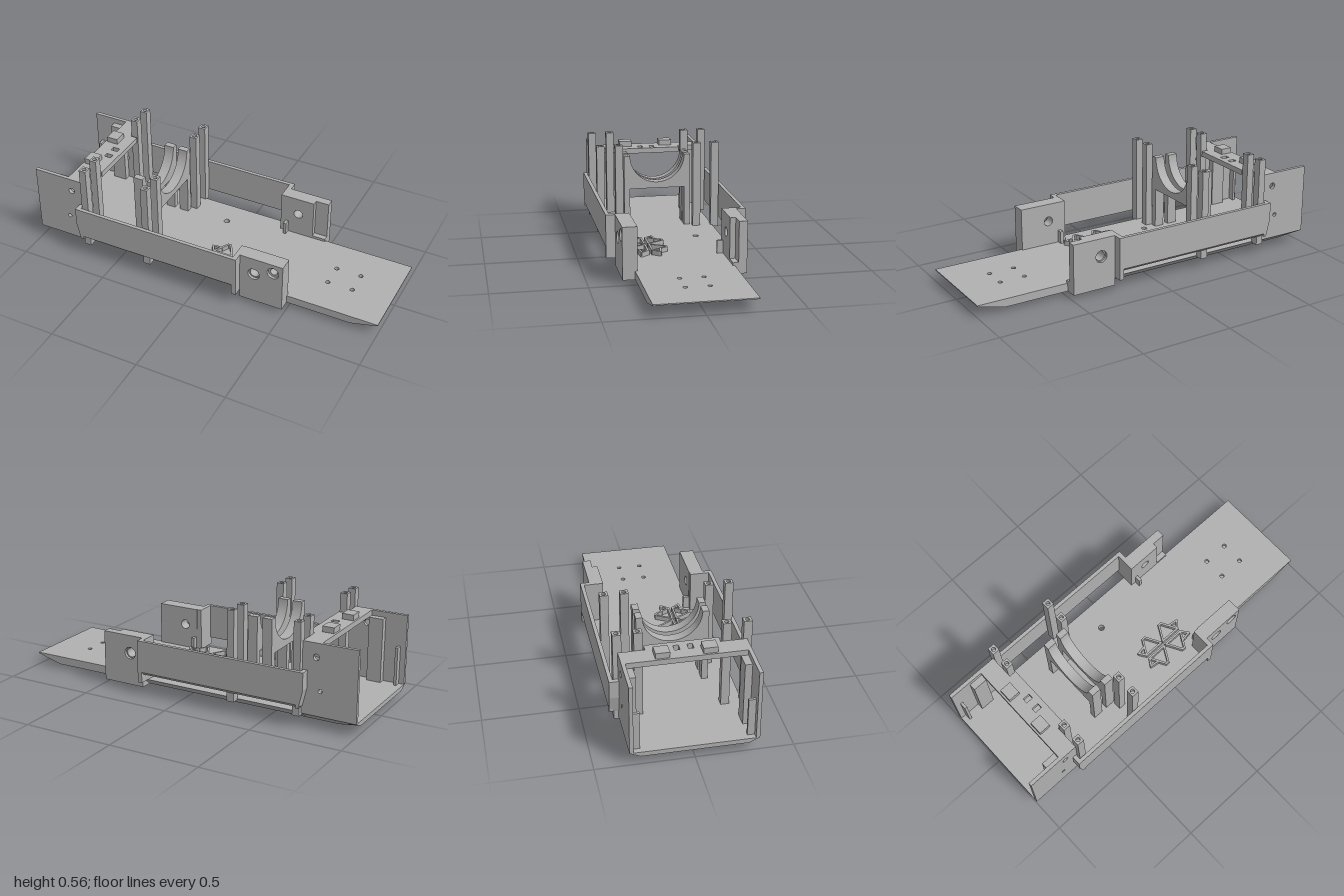
import * as THREE from 'three';
import { ConvexGeometry } from 'three/addons/geometries/ConvexGeometry.js';

export function createModel() {
  const model = new THREE.Group();
  const grey = new THREE.MeshStandardMaterial({ color: 0xb0b0b0 });
  grey.name = 'plain grey';

  const add = (name, geo) => {
    const mesh = new THREE.Mesh(geo, grey);
    mesh.name = name;
    model.add(mesh);
    return mesh;
  };
  const box = (name, x0, x1, y0, y1, z0, z1) => {
    const geo = new THREE.BoxGeometry(x1 - x0, y1 - y0, Math.abs(z1 - z0));
    geo.translate((x0 + x1) / 2, (y0 + y1) / 2, (z0 + z1) / 2);
    return add(name, geo);
  };
  const hull = (name, pts) => add(name, new ConvexGeometry(pts.map(p => new THREE.Vector3(...p))));
  const polygon = pts => new THREE.Shape(pts.map(p => new THREE.Vector2(...p)));
  const rect = (x0, x1, y0, y1) => polygon([[x0, y0], [x1, y0], [x1, y1], [x0, y1]]);
  const punch = (shape, x, y, r) => {
    shape.holes.push(new THREE.Path().absarc(x, y, r, 0, Math.PI * 2, true));
    return shape;
  };
  const extrude = (shape, depth) =>
    new THREE.ExtrudeGeometry(shape, { depth, bevelEnabled: false, curveSegments: 24 });
  // upright panel: x/y outline between two z positions
  const panel = (name, shape, za, zb) =>
    add(name, extrude(shape, Math.abs(zb - za)).translate(0, 0, Math.min(za, zb)));
  // flat slab: x/-z outline between two heights
  const slab = (name, shape, y0, y1) =>
    add(name, extrude(shape, y1 - y0).rotateX(-Math.PI / 2).translate(0, y0, 0));
  // cross-section in z/y running along x
  const along = (name, shape, x0, x1) =>
    add(name, extrude(shape, x1 - x0).rotateY(-Math.PI / 2).translate(x1, 0, 0));
  // square post with a blind screw hole in its top
  const post = (name, x, z, w, d, y0, y1) => {
    box(name, x - w / 2, x + w / 2, y0, y1 - 0.03, z - d / 2, z + d / 2);
    slab(name + 'Top', punch(rect(x - w / 2, x + w / 2, -z - d / 2, -z + d / 2), x, -z, 0.011), y1 - 0.03, y1);
  };

  // floor: lower layer with through holes, upper layer also with blind screw holes
  const drains = [[-0.08, 0.175], [-0.25, -0.165]];
  const lower = rect(-0.88, 0.85, -0.26, 0.26);
  const upper = rect(-0.88, 0.85, -0.26, 0.26);
  for (const [x, y] of drains) { punch(lower, x, y, 0.016); punch(upper, x, y, 0.016); }
  for (const x of [0.64, 0.78]) for (const y of [0.065, -0.06]) punch(upper, x, y, 0.012);
  slab('floorBottom', lower, 0.025, 0.05);
  slab('floorTop', upper, 0.05, 0.07);
  const nose = [], tail = [];
  for (const s of [1, -1]) {
    nose.push([0.85, 0.025, s * 0.26], [0.85, 0.07, s * 0.26], [1, 0.07, s * 0.26], [1, 0.064, s * 0.26]);
    tail.push([-0.88, 0.025, s * 0.26], [-0.88, 0.07, s * 0.325],
      [-1, 0.045, s * 0.27], [-1, 0.07, s * 0.325], [-0.88, 0.07, s * 0.26]);
  }
  hull('floorNose', nose);
  hull('floorTail', tail);
  box('bottomPad', 0.615, 0.815, 0, 0.025, -0.1, 0.1);

  for (const s of [1, -1]) {
    // sloping floor edges
    for (const [x0, x1, z] of [[-0.88, -0.7, 0.325], [-0.7, 0.245, 0.315]])
      hull('floorEdge', [x0, x1].flatMap(x =>
        [[x, 0.025, s * 0.26], [x, 0.07, s * 0.26], [x, 0.07, s * z]]));

    // rear side wall with two holes
    const wall = rect(-1, -0.7, 0.07, 0.455);
    punch(wall, -0.775, 0.38, 0.017);
    punch(wall, -0.8, 0.205, 0.011);
    panel('rearWall', wall, s * 0.305, s * 0.325);
    box('wallGusset', -0.88, -0.8, 0.07, 0.425, s * 0.268, s * 0.305);
    box('wallRib', -0.97, -0.955, 0.07, 0.28, s * 0.268, s * 0.305);

    // outer rail, bevelled underneath, with its two end returns
    along('sideRail', polygon([[s * 0.355, 0.112], [s * 0.375, 0.13], [s * 0.375, 0.305], [s * 0.355, 0.305]]), -0.71, 0.245);
    panel('railRearEnd', polygon([[-0.728, 0.305], [-0.728, 0.21], [-0.71, 0.13], [-0.705, 0.112], [-0.69, 0.112], [-0.705, 0.305]]),
      s * 0.32, s * 0.375);
    box('railFrontEnd', 0.22, 0.245, 0.07, 0.305, s * 0.25, s * 0.375);

    // small floor clip
    box('floorClip', 0.25, 0.267, 0.07, 0.14, s * 0.217, s * 0.25);

    // tall corner posts
    for (const x of [-0.68, -0.305])
      for (const z of [0.3275, 0.2225]) post('tallPost', x, s * z, 0.04, 0.044, 0.06, 0.555);

    // raised pads on the rear bridge
    box('bridgePad', -0.79, -0.725, 0.455, 0.486, s * 0.083, s * 0.156);
  }

  // left front block: counterbored through hole and blind hole
  const block = () => rect(0.245, 0.49, 0.025, 0.305);
  panel('leftBlockOuter', punch(punch(block(), 0.325, 0.205, 0.033), 0.435, 0.25, 0.033), 0.31, 0.325);
  panel('leftBlockMiddle', punch(punch(block(), 0.325, 0.205, 0.026), 0.435, 0.25, 0.02), 0.27, 0.31);
  panel('leftBlockInner', punch(block(), 0.325, 0.205, 0.026), 0.247, 0.27);

  // right front block: counterbored through hole and recessed front corner
  panel('rightBlockOuter', punch(block(), 0.325, 0.205, 0.033), -0.325, -0.31);
  panel('rightBlockMiddle', punch(block(), 0.325, 0.205, 0.026), -0.31, -0.28);
  panel('rightBlockInner', punch(rect(0.245, 0.415, 0.025, 0.305), 0.325, 0.205, 0.026), -0.28, -0.25);
  box('rightBlockStep', 0.415, 0.49, 0.025, 0.085, -0.28, -0.25);

  // rear bridge with two slots
  const bridge = polygon([[-0.8, -0.305], [-0.7, -0.305], [-0.7, -0.19], [-0.66, -0.19],
    [-0.66, 0.19], [-0.7, 0.19], [-0.7, 0.305], [-0.8, 0.305]]);
  for (const z of [-0.035, 0.035])
    bridge.holes.push(new THREE.Path(rect(-0.73, -0.69, z - 0.014, z + 0.014).getPoints().reverse()));
  slab('rearBridge', bridge, 0.425, 0.455);

  // two cradle yokes with a half-round seat
  for (const [x0, x1] of [[-0.46, -0.405], [-0.375, -0.32]]) {
    const yoke = new THREE.Shape();
    yoke.moveTo(-0.19, 0.06);
    yoke.lineTo(-0.157, 0.06);
    yoke.lineTo(-0.157, 0.295);
    yoke.lineTo(0.157, 0.295);
    yoke.lineTo(0.157, 0.06);
    yoke.lineTo(0.19, 0.06);
    yoke.lineTo(0.19, 0.486);
    yoke.lineTo(0.157, 0.486);
    yoke.absarc(0, 0.486, 0.156, 0, Math.PI, true);
    yoke.lineTo(-0.19, 0.486);
    along('cradleYoke', yoke, x0, x1);
    // screw sockets on the yoke tips
    for (const z of [-0.174, 0.174]) {
      const ring = new THREE.RingGeometry(0.009, 0.013, 16).rotateX(-Math.PI / 2);
      add('yokeSocket', ring.translate((x0 + x1) / 2, 0.488, z));
    }
  }

  // triangular lattice on the floor
  const bar = (ax, az, bx, bz) => {
    const len = Math.hypot(bx - ax, bz - az);
    const mesh = add('latticeBar', new THREE.BoxGeometry(len + 0.008, 0.027, 0.011));
    mesh.position.set((ax + bx) / 2, 0.0825, (az + bz) / 2);
    mesh.rotation.y = -Math.atan2(bz - az, bx - ax);
  };
  const mid = 0.136;
  for (const s of [1, -1]) {
    for (const x of [0.045, 0.17]) {
      const base = mid + s * 0.012, tip = mid + s * 0.096;
      bar(x - 0.055, base, x + 0.055, base);
      bar(x - 0.055, base, x - 0.008, tip);
      bar(x + 0.055, base, x + 0.008, tip);
      bar(x - 0.008, tip, x + 0.008, tip);
    }
    bar(-0.035, mid + s * 0.05, -0.01, mid + s * 0.012);
    bar(0.255, mid + s * 0.05, 0.225, mid + s * 0.012);
    bar(-0.035, mid + s * 0.05, 0.016, mid + s * 0.058);
    bar(0.255, mid + s * 0.05, 0.199, mid + s * 0.058);
  }
  return model;
}
